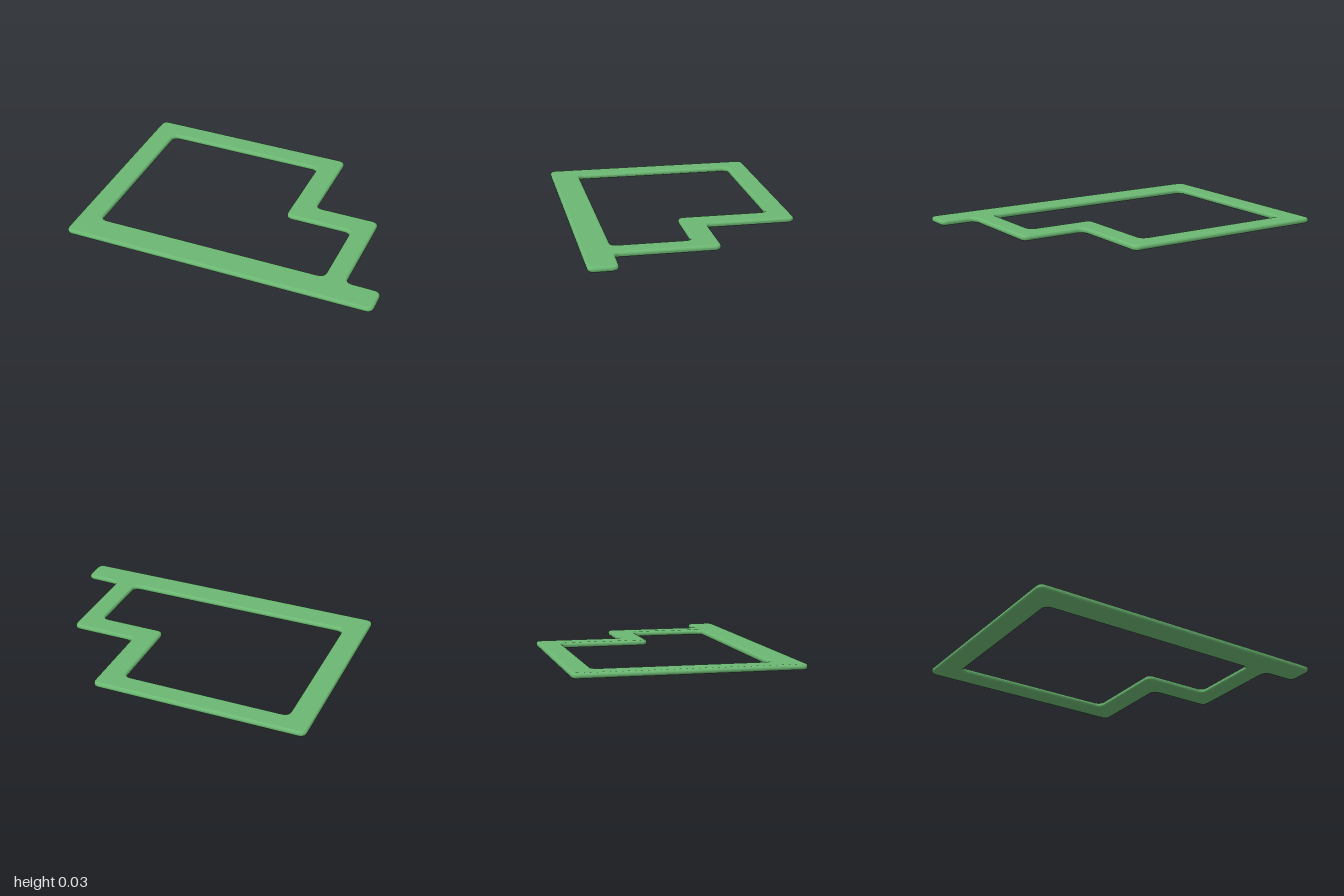
import * as THREE from 'three';
import { toCreasedNormals } from 'three/addons/utils/BufferGeometryUtils.js';

const HEIGHT = 0.034;
const BEVEL = 0.016;

// Trace a closed polygon of [x, z] corners with rounded corners (z is flipped into shape y).
function roundedPath(path, corners, radius) {
  const pts = corners.map(([x, z]) => new THREE.Vector2(x, -z));
  const n = pts.length;
  pts.forEach((p, i) => {
    const toward = (q) => p.clone().add(q.clone().sub(p).setLength(radius));
    const a = toward(pts[(i + n - 1) % n]);
    const b = toward(pts[(i + 1) % n]);
    if (i === 0) path.moveTo(a.x, a.y);
    else path.lineTo(a.x, a.y);
    path.quadraticCurveTo(p.x, p.y, b.x, b.y);
  });
  path.closePath();
  return path;
}

export function createModel() {
  const green = new THREE.MeshStandardMaterial({ color: 0x6cb873 });
  green.name = 'green';

  // Stepped outline with a short tab at the front left
  const outline = roundedPath(new THREE.Shape(), [
    [-1, 0.69], [1, 0.69], [1, 0.51], [0.775, 0.505],
    [0.775, -0.13], [0.355, -0.13], [0.355, -0.695], [-1, -0.695],
  ], 0.045);

  // Stepped opening
  outline.holes.push(roundedPath(new THREE.Path(), [
    [-0.85, 0.505], [-0.85, -0.55], [0.205, -0.55],
    [0.205, 0.025], [0.64, 0.025], [0.64, 0.505],
  ], 0.045));

  // Flat band with rounded edges
  let geometry = new THREE.ExtrudeGeometry(outline, {
    depth: HEIGHT - 2 * BEVEL,
    bevelEnabled: true,
    bevelThickness: BEVEL,
    bevelSize: BEVEL,
    bevelOffset: -BEVEL,
    bevelSegments: 5,
    curveSegments: 6,
  });
  geometry.rotateX(-Math.PI / 2);
  geometry.translate(0, BEVEL, 0);
  geometry = toCreasedNormals(geometry, 0.8);

  // Keep the top and bottom faces evenly flat
  const { position, normal } = geometry.attributes;
  const lids = geometry.groups[0];
  for (let i = lids.start; i < lids.start + lids.count; i++) {
    normal.setXYZ(i, 0, position.getY(i) > HEIGHT / 2 ? 1 : -1, 0);
  }

  const frame = new THREE.Mesh(geometry, green);
  frame.name = 'steppedFrame';

  const model = new THREE.Group();
  model.name = 'flatSteppedFrame';
  model.add(frame);
  return model;
}
